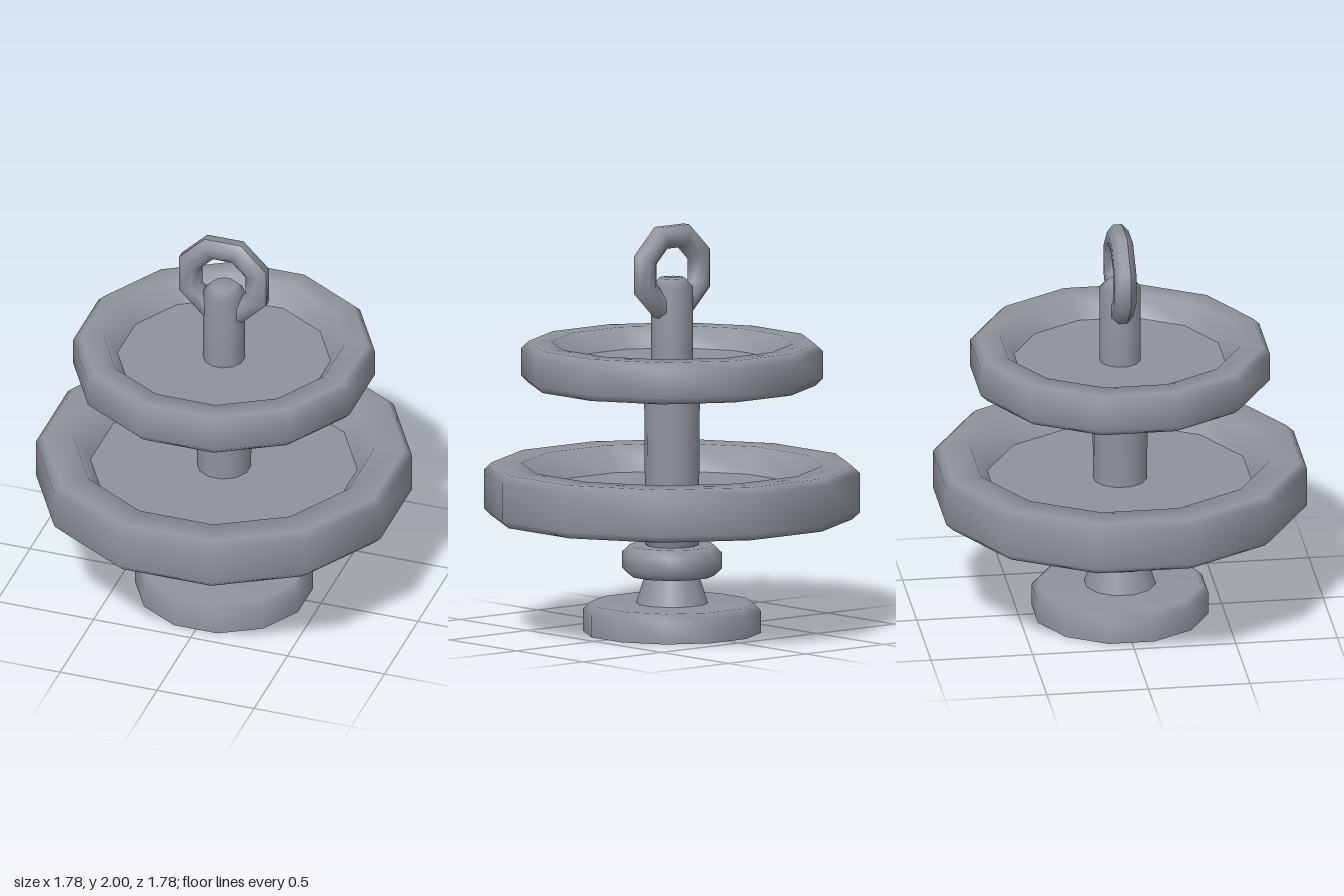
import * as THREE from 'three';

const steel = new THREE.MeshStandardMaterial({ color: 0x8f949c });
steel.name = 'steel grey';

// Turned part: [radius to the flat, height] pairs from bottom to top, with a flat side facing front
function turned(name, profile, sides = 12) {
  const k = 1 / Math.cos(Math.PI / sides);
  const points = profile.map(([r, y]) => new THREE.Vector2(r * k, y));
  const mesh = new THREE.Mesh(new THREE.LatheGeometry(points, sides, Math.PI / sides), steel);
  mesh.name = name;
  return mesh;
}

// Round tray with a thick bevelled rim and a sunken floor
function tray(name, radius, rimInner, floorRadius, bottom, top, floorY) {
  const bevel = 0.035;
  const group = new THREE.Group();
  group.name = name;
  group.add(
    turned(name + 'Rim', [
      [0, bottom], [radius - bevel, bottom], [radius, bottom + bevel],
      [radius, top - bevel], [radius - bevel, top], [rimInner, top], [floorRadius, floorY],
    ]),
    turned(name + 'Floor', [[floorRadius, floorY], [0, floorY]]),
  );
  return group;
}

export function createModel() {
  const model = new THREE.Group();
  model.name = 'tieredStand';

  // Foot and turned stem
  model.add(
    turned('footUnderside', [[0, 0], [0.42, 0]]),
    turned('foot', [[0.42, 0], [0.42, 0.11], [0.385, 0.145], [0, 0.145]]),
    turned('lowerStem', [[0.17, 0.145], [0.125, 0.29]]),
    turned('stemKnob', [
      [0, 0.28], [0.2, 0.28], [0.235, 0.315], [0.235, 0.395], [0.2, 0.43], [0, 0.43],
    ]),
    turned('upperStem', [[0.122, 0.42], [0.165, 0.57]]),
  );

  // Trays and the columns between them
  model.add(
    tray('lowerTray', 0.888, 0.71, 0.63, 0.565, 0.825, 0.7),
    turned('middleColumn', [[0.128, 0.69], [0.132, 1.23]]),
    tray('upperTray', 0.712, 0.57, 0.503, 1.22, 1.425, 1.325),
    turned('topRod', [[0.098, 1.32], [0.098, 1.705], [0.06, 1.745], [0, 1.745]]),
  );

  // Eight-sided carrying ring with an octagonal section
  const section = [];
  for (let i = 0; i <= 8; i++) {
    const a = (i + 0.5) * Math.PI / 4;
    section.push([0.172 + 0.0575 * Math.cos(a), 0.0575 * Math.sin(a)]);
  }
  const ring = turned('carryingRing', section, 8);
  ring.rotation.x = Math.PI / 2;
  ring.position.y = 1.775;
  model.add(ring);

  return model;
}
